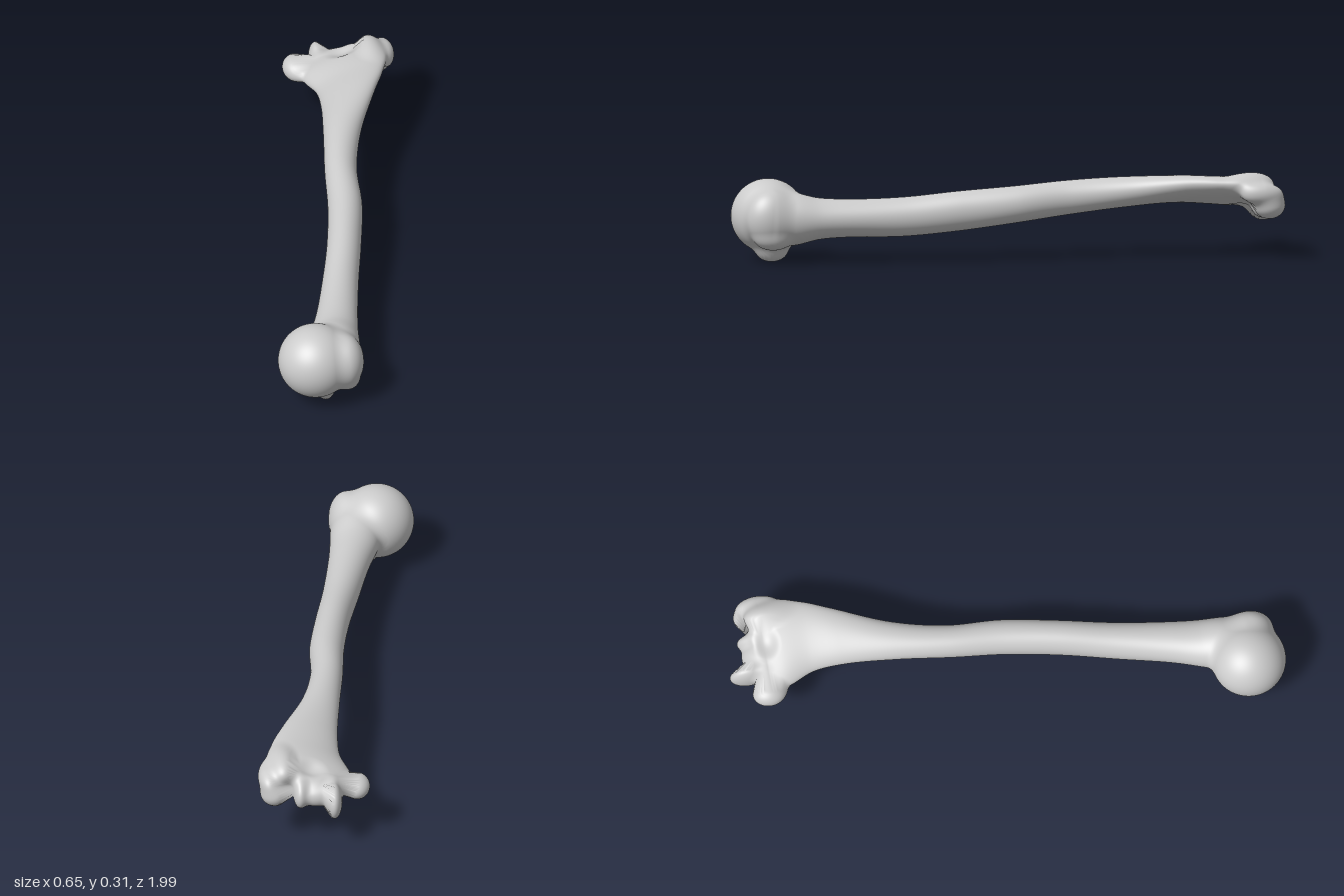
import * as THREE from 'three';

// Shaft cross-sections: z, then centre x, centre y, half width, half height, roll
const SECTIONS = [
  [-0.86, 0.13, 0.225, 0.15, 0.042, 0.25],
  [-0.8, 0.135, 0.235, 0.158, 0.046, 0.28],
  [-0.7, 0.14, 0.245, 0.128, 0.045, 0.32],
  [-0.6, 0.122, 0.25, 0.104, 0.046, 0.33],
  [-0.4, 0.075, 0.24, 0.07, 0.055, 0.25],
  [-0.2, 0.043, 0.223, 0.059, 0.062, 0.1],
  [0, 0.032, 0.203, 0.063, 0.067, 0],
  [0.2, 0.002, 0.183, 0.063, 0.072, 0],
  [0.4, -0.038, 0.164, 0.067, 0.071, 0],
  [0.6, -0.078, 0.161, 0.077, 0.069, 0],
  [0.7, -0.1, 0.16, 0.088, 0.076, 0],
  [0.78, -0.115, 0.16, 0.098, 0.095, 0],
  [0.86, -0.125, 0.16, 0.1, 0.1, 0],
];
const sectionAt = new THREE.CubicInterpolant(
  SECTIONS.map((s) => s[0]), SECTIONS.flatMap((s) => s.slice(1)), 5);
const Z_BACK = -0.86, Z_FRONT = 0.86;

// Rounded masses that swell the ends: centre, radii
const SWELLINGS = [
  [-0.19, 0.165, 0.86, 0.135, 0.134, 0.135],   // ball head
  [-0.085, 0.168, 0.88, 0.068, 0.1, 0.088],    // greater tubercle
  [-0.075, 0.093, 0.87, 0.042, 0.036, 0.06],   // tubercle foot
  [-0.155, 0.044, 0.855, 0.036, 0.043, 0.06],  // lesser tubercle
  [-0.033, 0.2, -0.87, 0.048, 0.043, 0.06],    // inner epicondyle
  [0.052, 0.18, -0.93, 0.03, 0.066, 0.069],    // trochlea lip
  [0.11, 0.19, -0.9, 0.07, 0.045, 0.045],      // trochlea waist
  [0.172, 0.192, -0.9, 0.025, 0.052, 0.053],   // trochlea outer ridge
  [0.265, 0.2, -0.892, 0.052, 0.05, 0.058],    // capitulum
  [0.285, 0.243, -0.86, 0.038, 0.038, 0.075],  // outer epicondyle
  [0.232, 0.273, -0.83, 0.045, 0.043, 0.085],  // outer rim
];
// Hollows above and below the hinge
const HOLLOWS = [
  [0.12, 0.31, -0.86, 0.062, 0.058, 0.05],
  [0.12, 0.135, -0.82, 0.06, 0.055, 0.04],
];

const smoothMin = (a, b, k) => {
  const h = Math.max(k - Math.abs(a - b), 0) / k;
  return Math.min(a, b) - h * h * k * 0.25;
};
const ellipsoid = ([cx, cy, cz, rx, ry, rz], x, y, z) =>
  (Math.hypot((x - cx) / rx, (y - cy) / ry, (z - cz) / rz) - 1) * Math.min(rx, ry, rz);

function shaftField(x, y, z) {
  const [cx, cy, w, h, roll] = sectionAt.evaluate(z);
  const c = Math.cos(roll), s = Math.sin(roll);
  const u = (x - cx) * c + (y - cy) * s, v = (y - cy) * c - (x - cx) * s;
  const over = Math.max(z - Z_FRONT, Z_BACK - z, 0);
  return (Math.hypot(u / w, v / h, over / 0.05) - 1) * Math.min(w, h);
}

// Negative inside the bone, positive outside
function field(x, y, z) {
  let f = shaftField(x, y, z);
  if (Math.abs(z) > 0.6) {
    for (const e of SWELLINGS) if (e[2] * z > 0) f = smoothMin(f, ellipsoid(e, x, y, z), 0.022);
    if (z < 0) for (const e of HOLLOWS) f = -smoothMin(-f, ellipsoid(e, x, y, z), 0.02);
  }
  return f;
}

// Distance from an inner point to the skin along a direction
function reach(o, d) {
  const f = (r) => field(o.x + d.x * r, o.y + d.y * r, o.z + d.z * r);
  let r = 0.3;
  while (r > 0.006 && f(r) > 0) r -= 0.005;
  let lo = r, hi = r + 0.005;
  for (let i = 0; i < 10; i++) {
    const mid = (lo + hi) / 2;
    if (f(mid) > 0) hi = mid; else lo = mid;
  }
  return lo;
}

// Skin over rows of rays; each row has a z and a tilt toward the nearer end
const SEGMENTS = 128;
function skin(name, rows, material) {
  const positions = [], normals = [], index = [];
  const n = new THREE.Vector3(), d = new THREE.Vector3(), o = new THREE.Vector3();
  const e = 0.002;
  for (const { z, tilt } of rows) {
    const [cx, cy] = sectionAt.evaluate(z);
    o.set(cx, cy, z);
    const stretch = 1 + THREE.MathUtils.smoothstep(-z, 0.4, 0.8);
    for (let j = 0; j <= SEGMENTS; j++) {
      const a = (j % SEGMENTS) / SEGMENTS * Math.PI * 2;
      d.set(Math.cos(a) * Math.cos(tilt) * stretch, Math.sin(a) * Math.cos(tilt), Math.sin(tilt)).normalize();
      const p = d.clone().multiplyScalar(reach(o, d)).add(o);
      n.set(
        field(p.x + e, p.y, p.z) - field(p.x - e, p.y, p.z),
        field(p.x, p.y + e, p.z) - field(p.x, p.y - e, p.z),
        field(p.x, p.y, p.z + e) - field(p.x, p.y, p.z - e)).normalize();
      positions.push(p.x, p.y, p.z);
      normals.push(n.x, n.y, n.z);
    }
  }
  for (let i = 0; i < rows.length - 1; i++) {
    for (let j = 0; j < SEGMENTS; j++) {
      const a = i * (SEGMENTS + 1) + j, c = a + SEGMENTS + 1;
      index.push(a, c, a + 1, a + 1, c, c + 1);
    }
  }
  const geometry = new THREE.BufferGeometry();
  geometry.setAttribute('position', new THREE.Float32BufferAttribute(positions, 3));
  geometry.setAttribute('normal', new THREE.Float32BufferAttribute(normals, 3));
  geometry.setIndex(index);
  const mesh = new THREE.Mesh(geometry, material);
  mesh.name = name;
  return mesh;
}

const slices = (from, to, count) => Array.from({ length: count + 1 },
  (_, i) => ({ z: from + (to - from) * i / count, tilt: 0 }));
const dome = (z, from, to, count) => Array.from({ length: count + 1 },
  (_, i) => ({ z, tilt: (from + (to - from) * i / count) * Math.PI / 2 }));

export function createModel() {
  const group = new THREE.Group();
  group.name = 'armBone';
  const material = new THREE.MeshStandardMaterial({ color: 0xcccccc });
  // Shoulder end, shaft and elbow end share their border rows
  group.add(
    skin('shoulderEnd', [...dome(Z_FRONT, 1, 0, 44), ...slices(Z_FRONT, 0.66, 40).slice(1)], material),
    skin('shaft', slices(0.66, -0.66, 60), material),
    skin('elbowEnd', [...slices(-0.66, Z_BACK, 40), ...dome(Z_BACK, 0, -1, 56).slice(1)], material),
  );
  return group;
}
